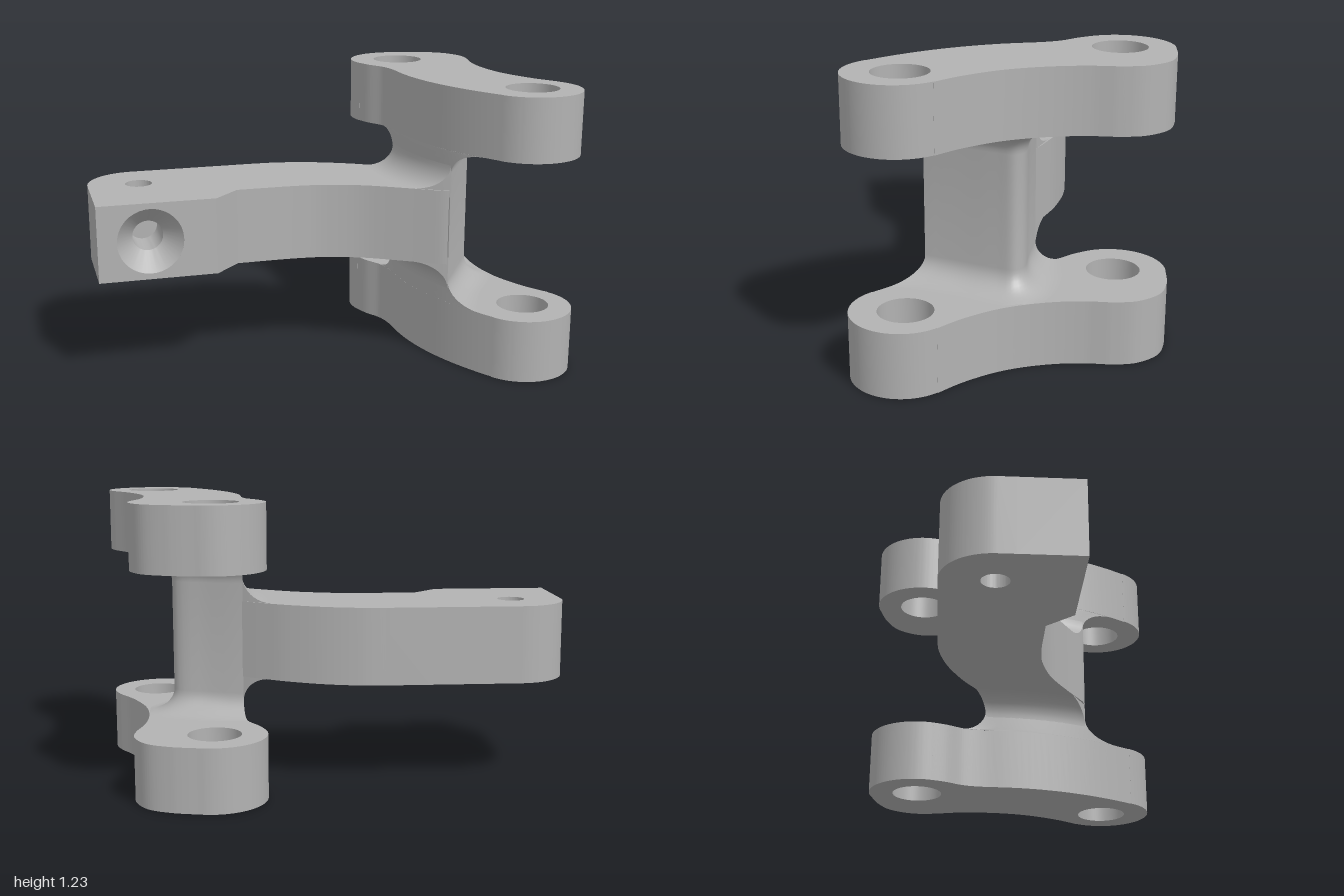
import * as THREE from 'three';
import { toCreasedNormals } from 'three/addons/utils/BufferGeometryUtils.js';

const MID = 0.6125, PLATE = 0.272, HEIGHT = 1.225;
const ARM_HALF = 0.165;
const V = (x, z) => new THREE.Vector2(x, -z);

// inner edge of the clevis plates: x for a given z
const edgeX = z => 0.39 + (z > -0.1 ? 0.5 : -0.9) * (z + 0.1) ** 2;

// extrude a plan shape upward from y0
function plan(shape, y0, depth) {
  const g = new THREE.ExtrudeGeometry(shape, { depth, bevelEnabled: false, curveSegments: 32 });
  g.rotateX(-Math.PI / 2).translate(0, y0, 0);
  return toCreasedNormals(g, 0.45);
}

// skin a series of closed loops of [x, y, z]
function loft(loops, flip = false) {
  const n = loops[0].length, index = [];
  for (let s = 0; s < loops.length - 1; s++) {
    for (let i = 0; i < n; i++) {
      const a = s * n + i, b = s * n + (i + 1) % n, c = b + n, d = a + n;
      if (flip) index.push(a, c, b, a, d, c);
      else index.push(a, b, c, a, c, d);
    }
  }
  const g = new THREE.BufferGeometry();
  g.setAttribute('position', new THREE.Float32BufferAttribute(loops.flat(2), 3));
  g.setIndex(index);
  return toCreasedNormals(g, 0.6);
}

function circleHole(shape, x, y, r) {
  const hole = new THREE.Path();
  hole.absarc(x, y, r, 0, Math.PI * 2, false);
  shape.holes.push(hole);
}

function plateShape() {
  const deg = Math.PI / 180, s = new THREE.Shape();
  s.absarc(0.51, 0.45, 0.22, 198 * deg, 75 * deg, true);
  s.splineThru([V(0.68, -0.635), V(0.78, -0.58), V(0.835, -0.48), V(0.835, -0.38), V(0.81, -0.27),
    V(0.80, -0.15), V(0.81, -0.02), V(0.84, 0.1), V(0.9, 0.23), V(0.969, 0.334)]);
  s.absarc(0.787, -0.45, 0.213, 33 * deg, -149 * deg, true);
  for (let i = 0; i <= 24; i++) {
    const z = 0.56 - 0.76 * i / 24;
    s.lineTo(edgeX(z), -z);
  }
  s.splineThru([V(0.365, -0.25), V(0.325, -0.32), V(0.301, -0.382)]);
  circleHole(s, 0.51, 0.45, 0.112);
  circleHole(s, 0.795, -0.44, 0.112);
  return s;
}

function armShape() {
  const s = new THREE.Shape();
  s.moveTo(-1, 0.08);
  s.lineTo(-1, 0.155);
  s.absarc(-0.785, 0.155, 0.215, Math.PI, Math.PI / 2, true);
  s.lineTo(-0.22, 0.37);
  s.splineThru([V(-0.1, -0.362), V(0.05, -0.325), V(0.2, -0.26), V(0.3, -0.2), V(0.39, -0.14)]);
  s.lineTo(0.5, 0.06);
  s.lineTo(0.5, -0.25);
  s.lineTo(0.48, -0.335);
  s.lineTo(0.44, -0.32);
  s.splineThru([V(0.3, 0.23), V(0.15, 0.145), V(0, 0.095), V(-0.1, 0.08), V(-0.2, 0.075)]);
  s.lineTo(-0.39, -0.075);
  s.lineTo(-0.5, -0.185);
  s.lineTo(-0.5, 0.08);
  circleHole(s, -0.78, 0.15, 0.058);
  return s;
}

// web cross-section; f = 0 at mid height, 1 where it spreads into a plate
function webLoop(y, f) {
  const loop = [], z0 = -0.14 - 0.11 * f, z1 = 0.335 + 0.165 * f;
  for (let i = 0; i <= 12; i++) {
    const z = z0 + (z1 - z0) * i / 12;
    loop.push([edgeX(z), y, z]);
  }
  const outer = new THREE.CatmullRomCurve3([
    [0.51 + 0.07 * f, 0.295 + 0.14 * f], [0.575 + 0.1 * f, 0.195 + 0.06 * f],
    [0.66 + 0.12 * f, 0.065 + 0.04 * f], [0.695 + 0.13 * f, 0], [0.67 + 0.11 * f, -0.045 - 0.07 * f],
    [0.55 + 0.04 * f, -0.085 - 0.13 * f], [0.45, -0.12 - 0.12 * f],
  ].map(([x, z]) => new THREE.Vector3(x, 0, z)));
  for (const p of outer.getPoints(24)) loop.push([Math.min(p.x, 0.805), y, p.z]);
  return loop;
}

// concave fillet between an arm face and the web; side is 1 above, -1 below
function armFillet(side) {
  const loops = [], R = 0.11, N = 14;
  for (let s = 0; s <= 10; s++) {
    const a = s / 10 * Math.PI / 2, d = 1 - Math.sin(a);
    const y = MID + side * (ARM_HALF + R * (1 - Math.cos(a)));
    const top = [], base = [];
    for (let i = 0; i <= N; i++) {
      const z0 = -0.14 - 0.07 * d, z1 = 0.335 - 0.08 * d, z = z0 + (z1 - z0) * i / N;
      const x = edgeX(z) - R * d;
      top.push([x, y, z]);
      base.unshift([x, MID + side * (ARM_HALF - 0.03), z]);
    }
    loops.push([...top, ...base]);
  }
  return loft(loops, side < 0);
}

export function createModel() {
  const model = new THREE.Group();
  model.name = 'clevisBracket';
  const metal = new THREE.MeshStandardMaterial({ color: 0xb2b2b2 });
  metal.name = 'plainGrey';
  const metalOpen = new THREE.MeshStandardMaterial({ color: 0xb2b2b2, side: THREE.DoubleSide });
  metalOpen.name = 'plainGreyOpen';
  const add = (name, geometry, material = metal) => {
    const mesh = new THREE.Mesh(geometry, material);
    mesh.name = name;
    model.add(mesh);
    return mesh;
  };

  // two drilled clevis plates
  add('lowerPlate', plan(plateShape(), 0, PLATE));
  add('upperPlate', plan(plateShape(), HEIGHT - PLATE, PLATE));

  // web between the plates, flared at both ends
  const loops = [], R = 0.1, half = MID - PLATE;
  for (let i = 0; i <= 10; i++) {
    const a = (1 - i / 10) * Math.PI / 2;
    loops.push(webLoop(MID - half + R * (1 - Math.sin(a)), 1 - Math.cos(a)));
  }
  for (let i = 0; i <= 10; i++) {
    const a = i / 10 * Math.PI / 2;
    loops.push(webLoop(MID + half - R * (1 - Math.sin(a)), 1 - Math.cos(a)));
  }
  // ends meet the plates exactly
  add('web', loft(loops));

  // curved arm with its fillets into the web
  add('arm', plan(armShape(), MID - ARM_HALF, ARM_HALF * 2));
  add('upperArmFillet', armFillet(1));
  add('lowerArmFillet', armFillet(-1));

  // front pad of the arm with a countersunk bore
  const pad = new THREE.Shape();
  pad.moveTo(-1, MID - ARM_HALF);
  pad.lineTo(-0.5, MID - ARM_HALF);
  pad.lineTo(-0.5, MID + ARM_HALF);
  pad.lineTo(-1, MID + ARM_HALF);
  circleHole(pad, -0.78, MID, 0.14);
  const padGeometry = new THREE.ExtrudeGeometry(pad, { depth: 0.265, bevelEnabled: false, curveSegments: 32 });
  add('armPad', toCreasedNormals(padGeometry.translate(0, 0, -0.08), 0.45));

  const bore = new THREE.LatheGeometry(
    [[0.065, 0], [0.065, 0.175], [0.14, 0.265]].map(p => new THREE.Vector2(...p)), 40);
  bore.rotateX(Math.PI / 2).translate(-0.78, MID, -0.08);
  add('countersink', toCreasedNormals(bore, 0.45), metalOpen);

  return model;
}
